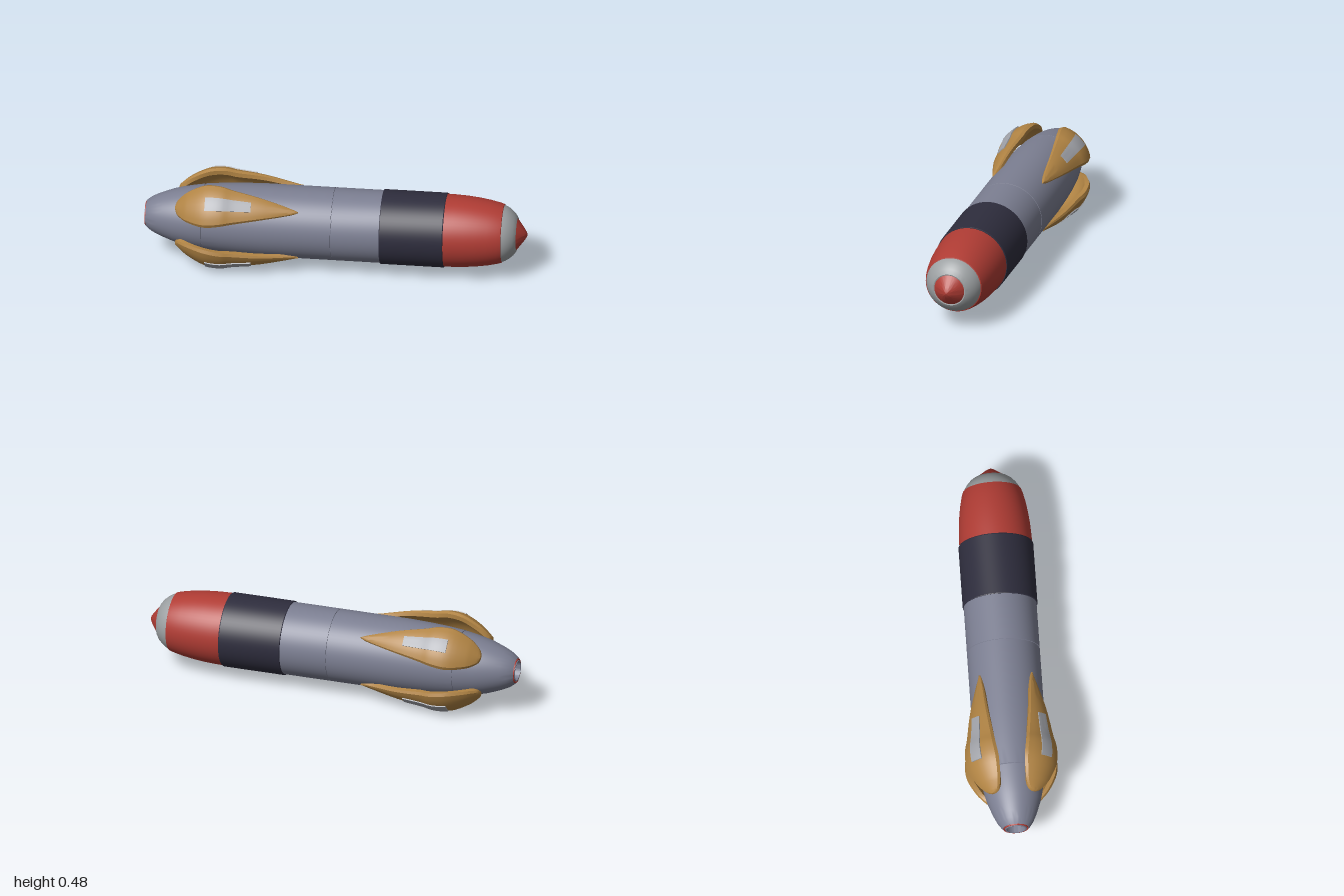
import * as THREE from 'three';
import { toCreasedNormals } from 'three/addons/utils/BufferGeometryUtils.js';

const mat = (name, color) => {
  const m = new THREE.MeshStandardMaterial({ color });
  m.name = name;
  return m;
};

// Turned part along the x axis; profile holds [x, radius] pairs from tail to nose
function turned(name, profile, material) {
  const pts = profile.map(([x, r]) => new THREE.Vector2(r, x));
  let g = new THREE.LatheGeometry(pts, 64);
  g.rotateZ(-Math.PI / 2);
  g = toCreasedNormals(g, 0.45);
  const m = new THREE.Mesh(g, material);
  m.name = name;
  return m;
}

// Skin closed cross-section loops, stacked towards +x, and cap both ends
function loft(loops, crease) {
  const n = loops[0].length, pos = loops.flat(2), idx = [];
  for (let i = 0; i < loops.length - 1; i++) {
    for (let j = 0; j < n; j++) {
      const a = i * n + j, b = i * n + (j + 1) % n;
      idx.push(a, b, a + n, b, b + n, a + n);
    }
  }
  [0, loops.length - 1].forEach((i) => {
    const c = pos.length / 3;
    for (let k = 0; k < 3; k++) pos.push(loops[i].reduce((s, p) => s + p[k], 0) / n);
    for (let j = 0; j < n; j++) {
      const a = i * n + j, b = i * n + (j + 1) % n;
      if (i === 0) idx.push(c, b, a); else idx.push(c, a, b);
    }
  });
  const g = new THREE.BufferGeometry();
  g.setAttribute('position', new THREE.Float32BufferAttribute(pos, 3));
  g.setIndex(idx);
  return toCreasedNormals(g, crease);
}

// Fin outline: x, far edge and near edge measured from the body axis
const finCurve = new THREE.CatmullRomCurve3([
  [-0.832, 0.118, 0.1], [-0.823, 0.138, 0.086], [-0.795, 0.17, 0.075], [-0.765, 0.195, 0.071],
  [-0.675, 0.24, 0.071], [-0.59, 0.244, 0.084], [-0.535, 0.231, 0.092], [-0.39, 0.203, 0.112],
  [-0.246, 0.16, 0.125], [-0.2, 0.143, 0.13], [-0.187, 0.137, 0.134],
].map((p) => new THREE.Vector3(...p)));

// Fin radius and half angle at curve parameter t
function finAt(t) {
  const p = finCurve.getPoint(t);
  return { x: p.x, r: Math.hypot(p.y, p.z), a: Math.max(0.01, Math.atan2(p.y, p.z) - Math.PI / 4) };
}
function finAtX(x) {
  let lo = 0, hi = 1;
  for (let i = 0; i < 30; i++) {
    const m = (lo + hi) / 2;
    if (finCurve.getPoint(m).x < x) lo = m; else hi = m;
  }
  return finAt(lo);
}
const polar = (x, r, phi) => [x, r * Math.cos(phi), r * Math.sin(phi)];
const CROWN = 0.006;

// Arched shell with bevelled edges
function finGeometry() {
  const loops = [];
  for (let i = 0; i <= 40; i++) {
    const { x, r, a } = finAt(i / 40);
    const t = 0.014 + 0.02 * Math.min(1, a / 0.4), loop = [];
    for (let j = -4; j <= 4; j++) {
      const u = j / 4;
      loop.push(polar(x, r + CROWN * (1 - u * u), u * a * 0.88));
    }
    loop.push(polar(x, r - t * 0.35, a));
    for (let j = 4; j >= -4; j--) loop.push(polar(x, r - t, (j / 4) * a * 0.93));
    loop.push(polar(x, r - t * 0.35, -a));
    loops.push(loop);
  }
  return loft(loops, 0.55);
}

// Thin plate that follows the crown of the fin
function plateGeometry() {
  const loops = [];
  for (let i = 0; i <= 12; i++) {
    const x = -0.67 + 0.24 * (i / 12), { r } = finAtX(x);
    const w = 0.14 - 0.035 * (i / 12), loop = [];
    for (let j = -3; j <= 3; j++) loop.push(polar(x, r + CROWN + 0.005, (j / 3) * w));
    for (let j = 3; j >= -3; j--) loop.push(polar(x, r + CROWN - 0.004, (j / 3) * w));
    loops.push(loop);
  }
  return loft(loops, 0.55);
}

export function createModel() {
  const blueGrey = mat('blueGrey', 0x7c7f92), navy = mat('darkNavy', 0x2e2d3d);
  const red = mat('red', 0xb03c34), grey = mat('lightGrey', 0x9da1a3);
  const gold = mat('ochre', 0xb08343), silver = mat('silver', 0xa3a5ab);

  const model = new THREE.Group();
  model.name = 'torpedo';
  const body = new THREE.Group();
  body.name = 'body';
  model.add(body);

  // Hull, from the tail forward, with two narrow seams
  body.add(
    turned('tailNozzle', [[-0.94, 0], [-0.94, 0.046], [-1, 0.05], [-1, 0.056], [-0.993, 0.058]], blueGrey),
    turned('tailRing', [[-0.993, 0.056], [-0.998, 0.059], [-0.998, 0.064], [-0.99, 0.066]], red),
    turned('tailCone', [[-0.992, 0.063], [-0.994, 0.068], [-0.985, 0.076], [-0.963, 0.092], [-0.93, 0.108],
      [-0.9, 0.12], [-0.85, 0.138], [-0.8, 0.151], [-0.75, 0.161], [-0.695, 0.17], [-0.694, 0.167]], blueGrey),
    turned('rearHull', [[-0.694, 0.167], [-0.692, 0.167], [-0.691, 0.171], [-0.6, 0.18], [-0.5, 0.186],
      [-0.38, 0.19], [-0.015, 0.19], [-0.014, 0.187]], blueGrey),
    turned('midHull', [[-0.014, 0.187], [-0.011, 0.187], [-0.01, 0.19], [0.245, 0.19]], blueGrey),
    turned('darkBand', [[0.24, 0.188], [0.24, 0.193], [0.243, 0.195], [0.57, 0.195], [0.574, 0.193], [0.574, 0.187]], navy),
    turned('redBand', [[0.57, 0.19], [0.62, 0.189], [0.68, 0.186], [0.74, 0.18], [0.8, 0.171], [0.85, 0.16],
      [0.872, 0.153], [0.874, 0.147]], red),
    turned('noseCollar', [[0.872, 0.149], [0.89, 0.142], [0.91, 0.129], [0.93, 0.111], [0.943, 0.093],
      [0.946, 0.087], [0.944, 0.08]], grey),
    turned('noseTip', [[0.943, 0.083], [0.955, 0.07], [0.97, 0.05], [0.985, 0.03], [0.995, 0.014], [1, 0]], red),
  );

  // Four arched fins, each with a silver plate
  const finGeo = finGeometry(), plateGeo = plateGeometry();
  for (let k = 0; k < 4; k++) {
    const fin = new THREE.Group();
    fin.name = 'fin' + (k + 1);
    const shell = new THREE.Mesh(finGeo, gold), plate = new THREE.Mesh(plateGeo, silver);
    shell.name = 'finShell';
    plate.name = 'finPlate';
    fin.add(shell, plate);
    fin.rotation.x = Math.PI / 4 + (k * Math.PI) / 2;
    model.add(fin);
  }

  // Raise so the fins rest on the ground
  model.children.forEach((c) => { c.position.y = 0.248; });
  return model;
}
